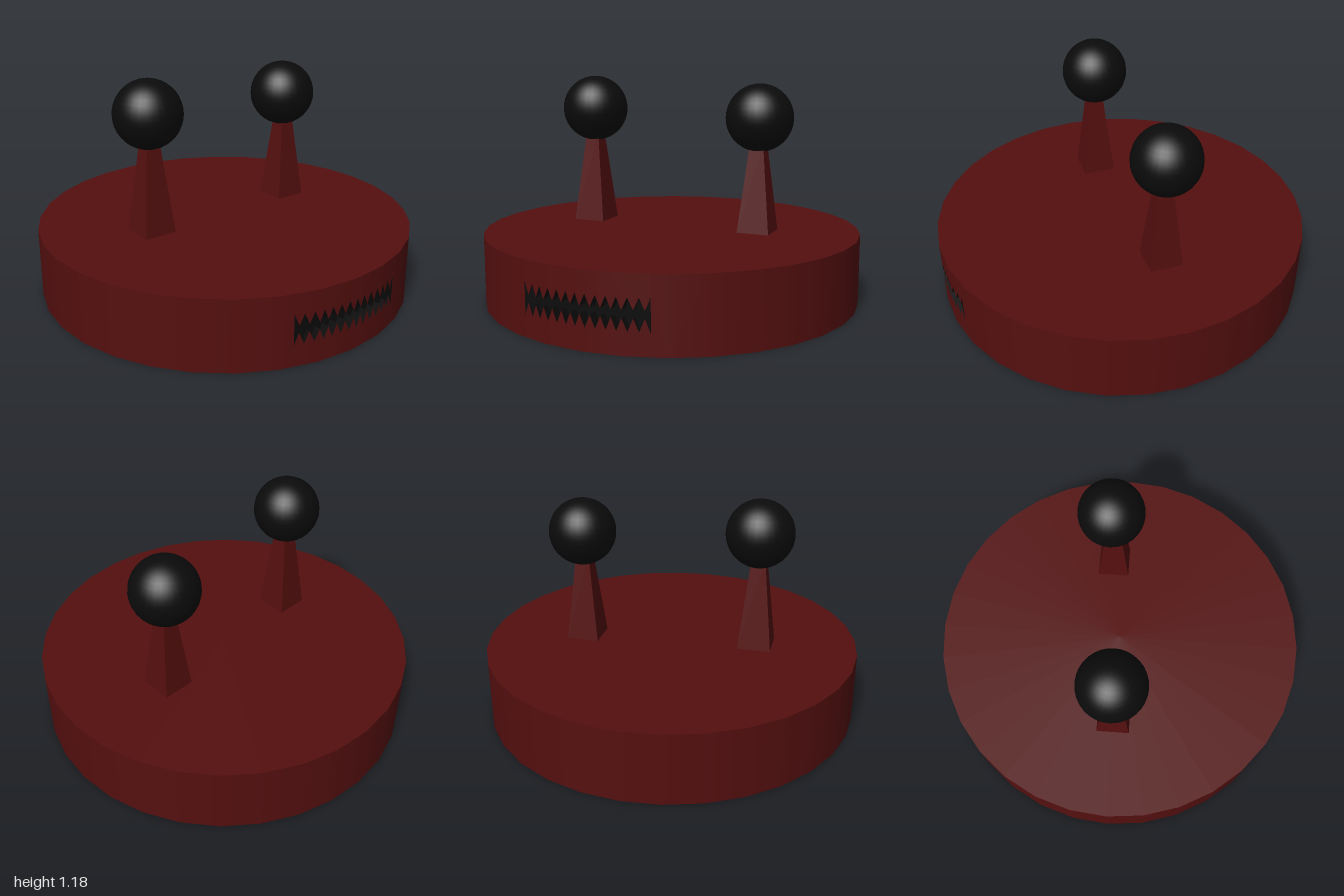
import * as THREE from 'three';

const red = new THREE.MeshStandardMaterial({ color: 0x550f0f });
const redFlat = new THREE.MeshStandardMaterial({ color: 0x550f0f, flatShading: true });
const black = new THREE.MeshStandardMaterial({ color: 0x0b0b0b });
const blackFlat = new THREE.MeshStandardMaterial({ color: 0x0b0b0b, flatShading: true, side: THREE.DoubleSide });

const H = 0.37, SIDES = 32, STEP = (Math.PI * 2) / SIDES;
const BACK = 0.945; // depth of the mouth's back panel

// z of the 32-sided rim at a given x near the front
function rimZ(x) {
  const a = Math.min(1, Math.floor(Math.abs(x) / Math.sin(STEP) + 1e-6)) * STEP;
  const t = (Math.abs(x) - Math.sin(a)) / (Math.sin(a + STEP) - Math.sin(a));
  return THREE.MathUtils.lerp(Math.cos(a), Math.cos(a + STEP), t);
}

// Joins two rows of points into a strip of quads
function strip(rowA, rowB, radialNormals) {
  const n = rowA.length, index = [];
  const g = new THREE.BufferGeometry().setFromPoints([...rowA, ...rowB]);
  for (let i = 0; i < n - 1; i++) index.push(i, i + 1, n + i, i + 1, n + i + 1, n + i);
  g.setIndex(index);
  g.computeVertexNormals();
  if (radialNormals) {
    const p = g.attributes.position;
    for (let i = 0; i < p.count; i++) {
      const l = Math.hypot(p.getX(i), p.getZ(i));
      g.attributes.normal.setXYZ(i, p.getX(i) / l, 0, p.getZ(i) / l);
    }
  }
  return g;
}

function add(parent, name, geometry, material, x = 0, y = 0, z = 0) {
  const m = new THREE.Mesh(geometry, material);
  m.name = name;
  m.position.set(x, y, z);
  parent.add(m);
  return m;
}

export function createModel() {
  const model = new THREE.Group();
  model.name = 'discCreature';

  // Disc body, with the front four facets left open for the mouth
  const body = new THREE.Group();
  body.name = 'body';
  model.add(body);
  add(body, 'sideWall', new THREE.CylinderGeometry(1, 1, H, SIDES - 4, 1, true, 2 * STEP, Math.PI * 2 - 4 * STEP), red, 0, H / 2, 0);
  add(body, 'topFace', new THREE.CircleGeometry(1, SIDES), red, 0, H, 0).rotation.x = -Math.PI / 2;
  add(body, 'underside', new THREE.CircleGeometry(1, SIDES), red).rotation.x = Math.PI / 2;

  // Zigzag outline of the mouth
  const half = 13, dx = Math.sin(STEP) / 8;
  const upper = [], lower = [];
  for (let i = -half; i <= half; i++) {
    const peak = i % 2 !== 0, x = i * dx, z = rimZ(x);
    upper.push(new THREE.Vector3(x, peak ? 0.262 : 0.205, z));
    lower.push(new THREE.Vector3(x, peak ? 0.11 : 0.17, z));
  }

  // Front wall above, below and beside the mouth
  const atY = (row, y) => row.map((p) => new THREE.Vector3(p.x, y, p.z));
  add(body, 'wallAboveMouth', strip(upper, atY(upper, H), true), red);
  add(body, 'wallBelowMouth', strip(atY(lower, 0), lower, true), red);
  for (const s of [-1, 1]) {
    const xs = [half * dx, Math.sin(2 * STEP)].map((x) => x * s).sort((a, b) => a - b);
    const row = xs.map((x) => new THREE.Vector3(x, 0, rimZ(x)));
    add(body, s < 0 ? 'rightMouthSide' : 'leftMouthSide', strip(row, atY(row, H), true), red);
  }

  // Recessed mouth: toothed lip and back panel
  const mouth = new THREE.Group();
  mouth.name = 'mouth';
  model.add(mouth);
  const loop = [...upper, ...lower.slice().reverse(), upper[0]];
  const inner = loop.map((p) => new THREE.Vector3(p.x, p.y, BACK));
  add(mouth, 'toothedLip', strip(loop, inner), blackFlat);
  add(mouth, 'backPanel', new THREE.PlaneGeometry(2 * half * dx, 0.152), blackFlat, 0, 0.186, BACK);

  // Eyes on tapered square stalks, the left one a little lower and further back
  const r2 = Math.SQRT2;
  const stalk = new THREE.CylinderGeometry(0.035 * r2, 0.088 * r2, 0.495, 4).rotateY(Math.PI / 4);
  const ball = new THREE.SphereGeometry(0.177, 32, 20);
  for (const [side, x, y, z, ballZ] of [['right', -0.465, 1.003, 0, -0.005], ['left', 0.465, 0.968, -0.065, -0.077]]) {
    const eye = new THREE.Group();
    eye.name = side + 'Eye';
    model.add(eye);
    add(eye, side + 'Stalk', stalk, redFlat, x, y - 0.372, z);
    add(eye, side + 'Eyeball', ball, black, x, y, ballZ);
  }
  return model;
}
